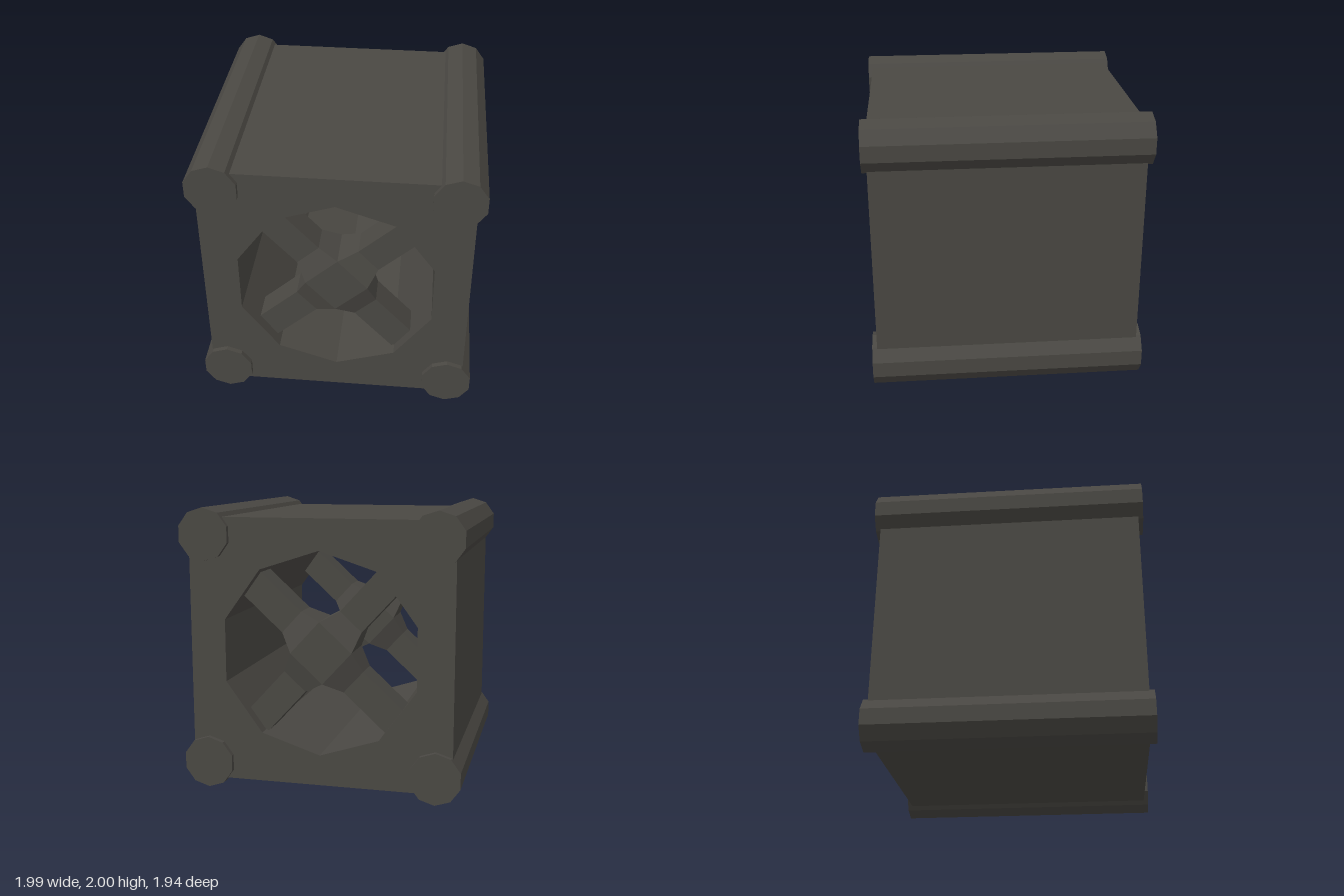
import * as THREE from 'three';

const CENTER_Y = 1;

export function createModel() {
  const group = new THREE.Group();
  const material = new THREE.MeshStandardMaterial({ color: 0x4a4843, flatShading: true });
  const add = (parent, name, geometry) => {
    const mesh = new THREE.Mesh(geometry, material);
    mesh.name = name;
    parent.add(mesh);
    return mesh;
  };

  // Square block with a ten-sided tunnel from front to back
  const half = 0.935;
  const outline = new THREE.Shape([
    new THREE.Vector2(-half, -half), new THREE.Vector2(half, -half),
    new THREE.Vector2(half, half), new THREE.Vector2(-half, half),
  ]);
  const hole = [];
  for (let i = 0; i < 10; i++) {
    const a = Math.PI / 2 - (i * Math.PI) / 5;
    hole.push(new THREE.Vector2(0.717 * Math.cos(a), 0.717 * Math.sin(a)));
  }
  outline.holes.push(new THREE.Path(hole));
  const block = new THREE.ExtrudeGeometry(outline, { depth: 2 * half, bevelEnabled: false });
  block.translate(0, CENTER_Y, -half);
  add(group, 'block', block);

  // Ten-sided rods along the four long edges
  const rod = new THREE.CylinderGeometry(0.185, 0.185, 1.94, 10).rotateX(Math.PI / 2);
  for (const x of [-1, 1]) {
    for (const y of [-1, 1]) {
      add(group, 'cornerRod', rod).position.set(0.818 * x, CENTER_Y + 0.815 * y, 0);
    }
  }

  // Cross braces just inside both openings: a cubic hub with four flared spokes
  const hub = new THREE.BoxGeometry(0.31, 0.31, 0.31);
  const flare = new THREE.CylinderGeometry(0.104 * Math.SQRT2, 0.155 * Math.SQRT2, 0.145, 4, 1, true)
    .rotateY(Math.PI / 4).translate(0, 0.2275, 0);
  const spoke = new THREE.BoxGeometry(0.208, 0.44, 0.208).translate(0, 0.52, 0);
  for (const z of [-0.745, 0.745]) {
    const brace = new THREE.Group();
    brace.name = z > 0 ? 'frontBrace' : 'backBrace';
    brace.position.set(0, CENTER_Y + 0.005, z);
    brace.rotation.z = THREE.MathUtils.degToRad(42.5);
    add(brace, 'hub', hub);
    for (let i = 0; i < 4; i++) {
      const arm = new THREE.Group();
      arm.name = 'arm';
      arm.rotation.z = (i * Math.PI) / 2;
      add(arm, 'flare', flare);
      add(arm, 'spoke', spoke);
      brace.add(arm);
    }
    group.add(brace);
  }
  return group;
}
